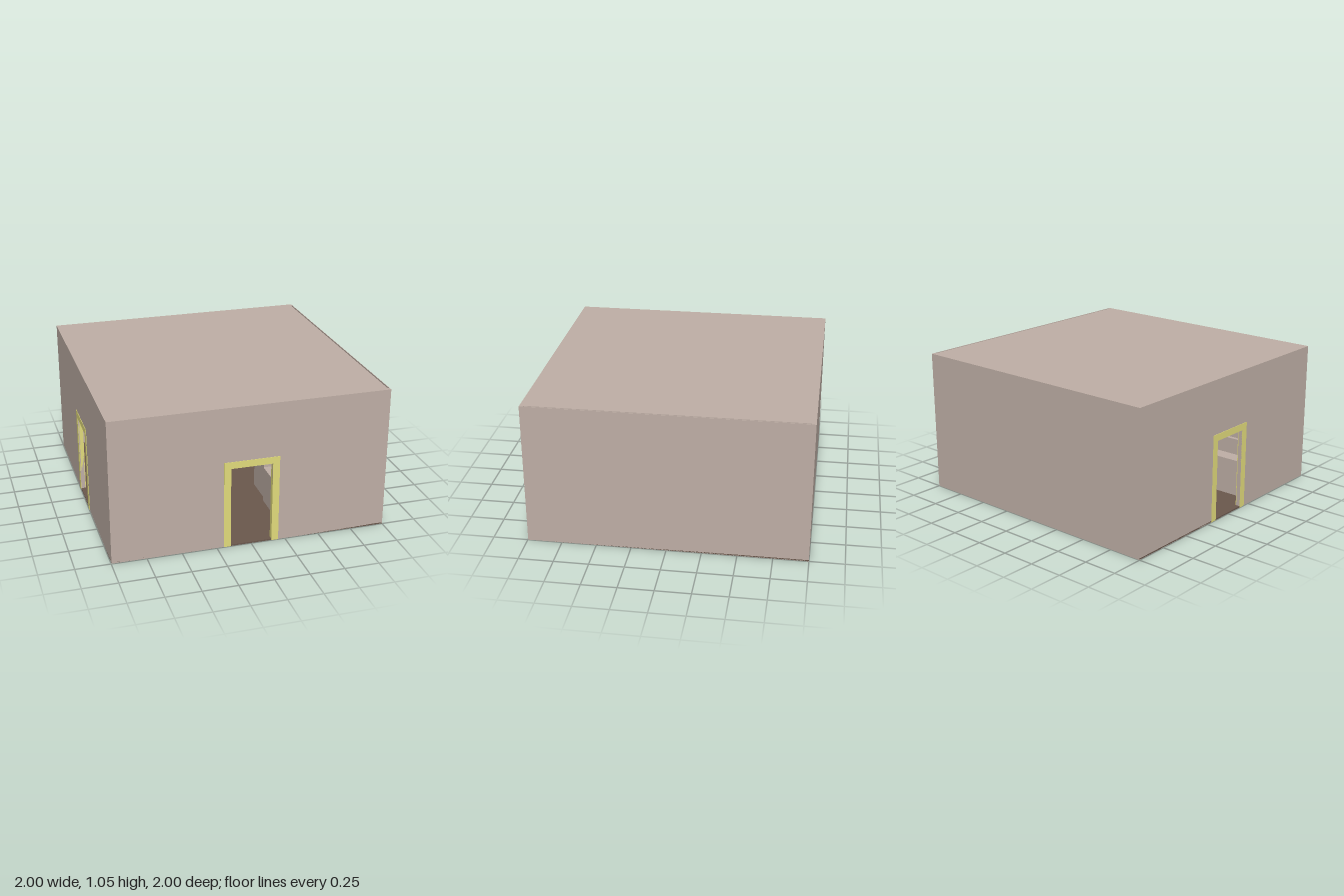
import * as THREE from 'three';

const mat = (color) => new THREE.MeshStandardMaterial({ color, flatShading: true });

export function createModel() {
  const model = new THREE.Group();
  const wallMat = mat(0xbfafa6);
  const frameMat = mat(0xe2dc7c);
  const floorMat = mat(0x6b584d);
  const seatMat = mat(0xbfafa6);
  const greyMat = mat(0xcccccc);
  const OUT = 0.997, H = 1.05, T = 0.03;

  const add = (name, geo, material, parent = model) => {
    const mesh = new THREE.Mesh(geo, material);
    mesh.name = name;
    parent.add(mesh);
    return mesh;
  };
  // Box given by its two extreme corners
  const box = (name, [x0, y0, z0], [x1, y1, z1], material) => {
    const geo = new THREE.BoxGeometry(x1 - x0, y1 - y0, z1 - z0);
    geo.translate((x0 + x1) / 2, (y0 + y1) / 2, (z0 + z1) / 2);
    return add(name, geo, material);
  };
  // Flat outline extruded along z, starting at z = start
  const slab = (points, depth, start) => {
    const shape = new THREE.Shape(points.map((p) => new THREE.Vector2(...p)));
    const geo = new THREE.ExtrudeGeometry(shape, { depth, bevelEnabled: false });
    return geo.translate(0, 0, start);
  };

  // Wall with a doorway plus its surround, turned about y to its side
  const doorWall = (name, angle) => {
    const side = new THREE.Group();
    side.name = name;
    side.rotation.y = angle;
    const wall = [[-OUT, 0], [-0.15, 0], [-0.15, 0.6], [0.15, 0.6], [0.15, 0], [OUT, 0], [OUT, H], [-OUT, H]];
    add('wall', slab(wall, T, OUT - T), wallMat, side);
    const frame = [[-0.2, 0], [-0.15, 0], [-0.15, 0.6], [0.15, 0.6], [0.15, 0], [0.2, 0], [0.2, 0.65], [-0.2, 0.65]];
    add('doorFrame', slab(frame, T + 0.008, 1 - T - 0.008), frameMat, side);
    model.add(side);
  };
  doorWall('frontWall', 0);
  doorWall('sideDoorWall', -Math.PI / 2);

  // Closed walls, floor and roof; a narrow slot stays open beside the left wall
  box('backWall', [-OUT, 0, -1], [1, H, -1 + T], wallMat);
  box('leftWall', [0.996, 0, -1], [1, H, OUT], wallMat);
  box('floor', [-OUT, 0, -1], [1, 0.01, OUT], floorMat);
  box('roof', [-OUT, H - 0.02, -1], [0.985, H, OUT], wallMat);

  // Two low steps against the back wall
  box('lowerStep', [-0.5, 0.01, -0.97], [0.5, 0.07, -0.6], greyMat);
  box('upperStep', [-0.5, 0.07, -0.97], [0.5, 0.13, -0.78], greyMat);

  // Benches with a tall back, facing the steps: [x0, x1, back z, depth]
  const benches = [
    [0.28, 0.86, 0.94, 0.22],
    [0.28, 0.84, 0.65, 0.22],
    [0.3, 0.9, 0.38, 0.22],
    [-0.9, -0.24, 0.74, 0.21],
    [-0.9, -0.36, 0.44, 0.14],
  ];
  for (const [x0, x1, z, depth] of benches) {
    const profile = [[0, 0], [depth, 0], [depth, 0.28], [0.03, 0.28], [0.03, 0.4], [0, 0.4]];
    const bench = add('bench', slab(profile, x1 - x0, 0), seatMat);
    bench.rotation.y = Math.PI / 2;
    bench.position.set(x0, 0.005, z);
  }
  return model;
}
